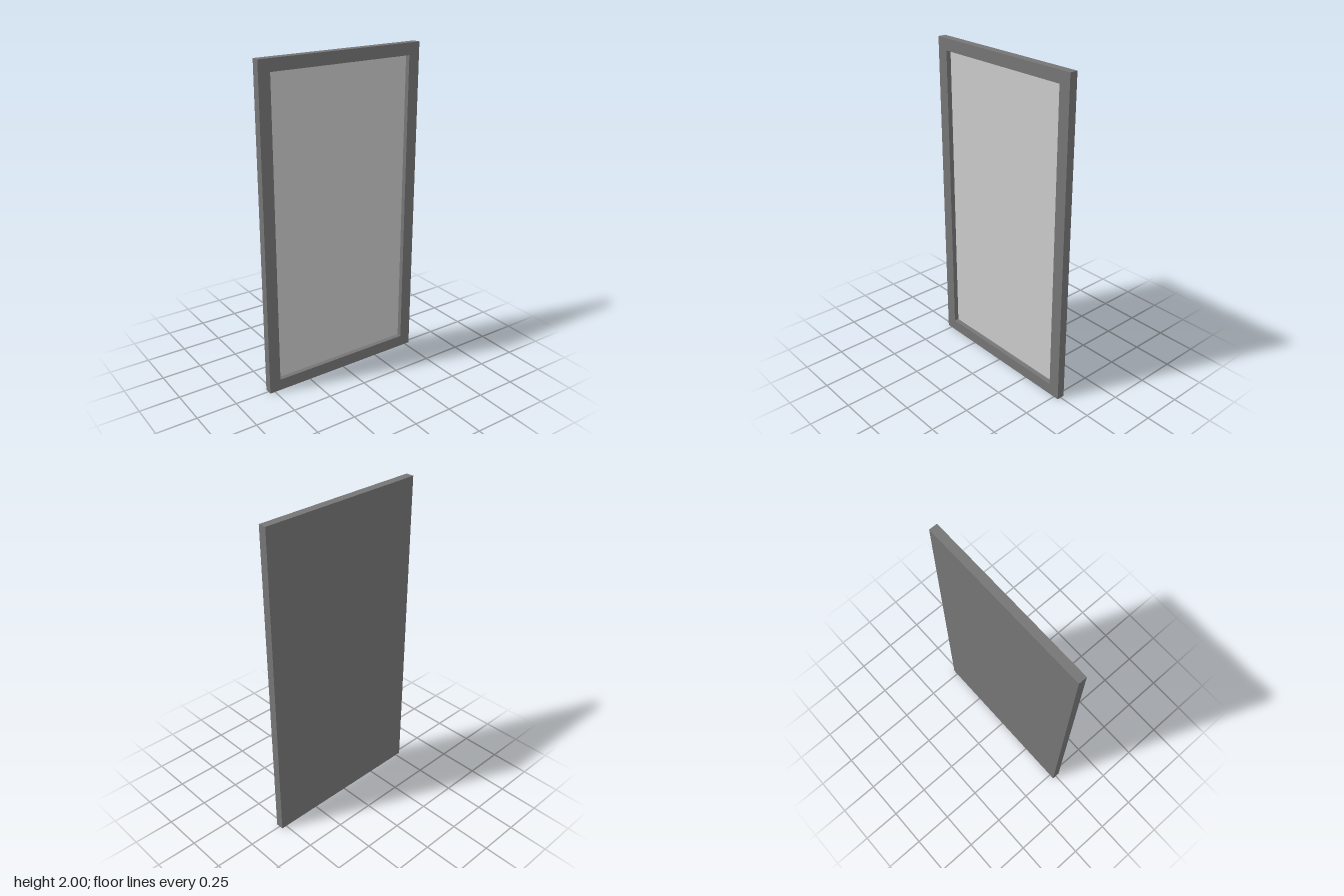
import * as THREE from 'three';

export function createModel() {
  const group = new THREE.Group();
  const dark = new THREE.MeshStandardMaterial({ color: 0x767676 });
  const grey = new THREE.MeshStandardMaterial({ color: 0xcccccc });

  // Box given by its lower and upper corners
  const box = (name, material, [x0, y0, z0], [x1, y1, z1]) => {
    const mesh = new THREE.Mesh(new THREE.BoxGeometry(x1 - x0, y1 - y0, z1 - z0), material);
    mesh.position.set((x0 + x1) / 2, (y0 + y1) / 2, (z0 + z1) / 2);
    mesh.name = name;
    group.add(mesh);
  };

  const W = 0.533, H = 2, rail = 0.072;
  const back = -0.025, mid = -0.015, pane = -0.005, front = 0.025;

  // Full backing sheet
  box('backBoard', dark, [-W, 0, back], [W, H, mid]);

  // Rails across the full width, stiles between them
  box('bottomRail', dark, [-W, 0, mid], [W, rail, front]);
  box('topRail', dark, [-W, H - rail, mid], [W, H, front]);
  box('leftStile', dark, [W - rail, rail, mid], [W, H - rail, front]);
  box('rightStile', dark, [-W, rail, mid], [-W + rail, H - rail, front]);

  // Recessed panel inside the frame
  box('panel', grey, [-W + rail, rail, mid], [W - rail, H - rail, pane]);

  return group;
}
